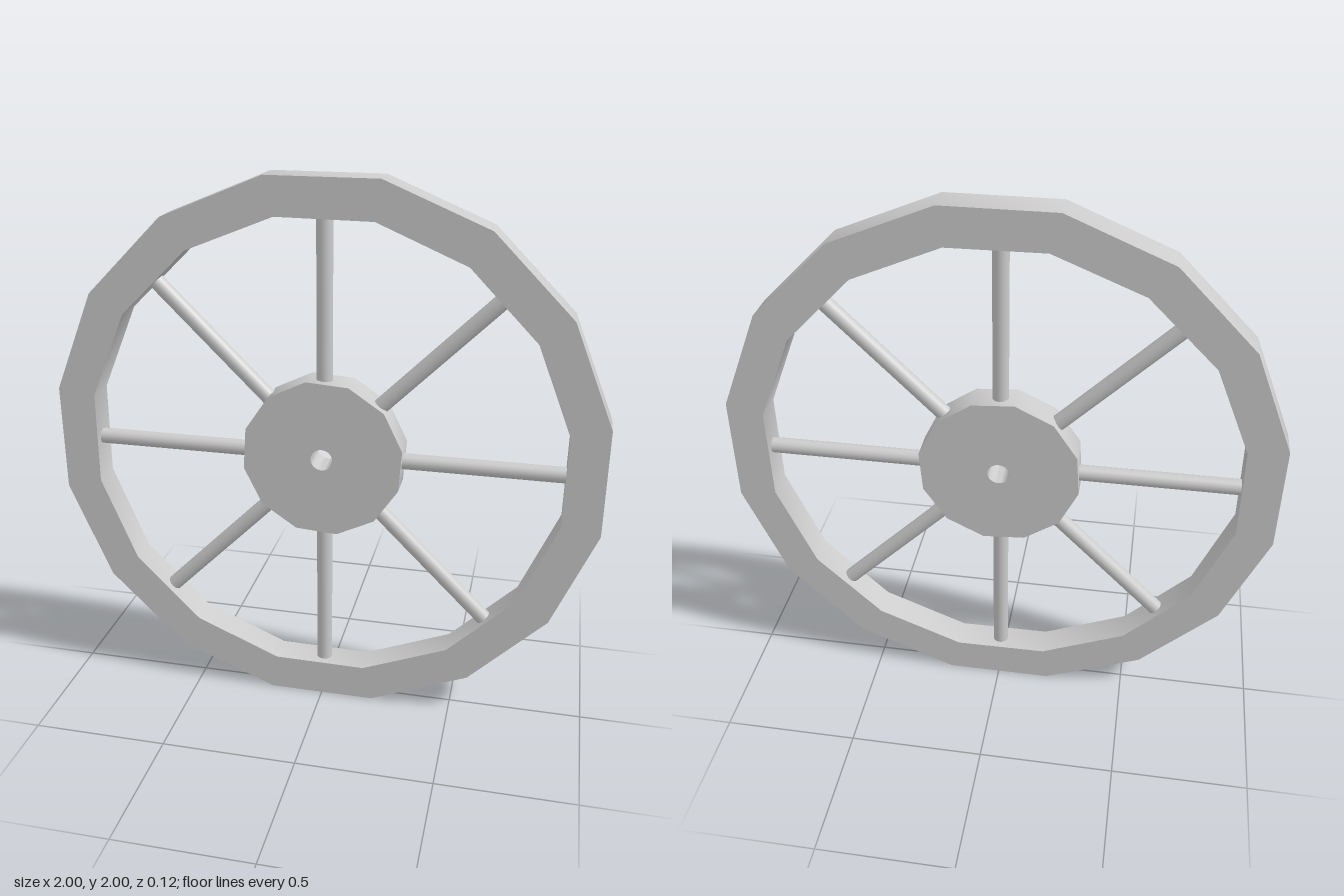
import * as THREE from 'three';
import { toCreasedNormals } from 'three/addons/utils/BufferGeometryUtils.js';

const DEPTH = 0.115;
const CENTRE_Y = 1;
const SPOKES = 8;

// Points of a regular polygon, first corner at the given angle in degrees
function polygon(sides, radius, degrees) {
  const points = [];
  for (let i = 0; i < sides; i++) {
    const a = THREE.MathUtils.degToRad(degrees) + (i / sides) * Math.PI * 2;
    points.push(new THREE.Vector2(radius * Math.cos(a), radius * Math.sin(a)));
  }
  return points;
}

// Flat plate with a hole, centred on z = 0, smooth round the sides and sharp at the faces
function plate(outer, inner) {
  const shape = new THREE.Shape(outer);
  shape.holes.push(new THREE.Path(inner));
  const geometry = new THREE.ExtrudeGeometry(shape, { depth: DEPTH, bevelEnabled: false });
  geometry.translate(0, 0, -DEPTH / 2);
  return toCreasedNormals(geometry, 0.6);
}

export function createModel() {
  const wheel = new THREE.Group();
  wheel.name = 'wheel';
  wheel.position.y = CENTRE_Y;
  const material = new THREE.MeshStandardMaterial({ color: 0xcccccc });

  const add = (name, geometry) => {
    const mesh = new THREE.Mesh(geometry, material);
    mesh.name = name;
    wheel.add(mesh);
    return mesh;
  };

  // Sixteen-sided rim
  add('rim', plate(polygon(16, 1.0196, 11.25), polygon(16, 0.88, 10.7)));

  // Twelve-sided hub with a round axle hole
  add('hub', plate(polygon(12, 0.298, 11), polygon(32, 0.04, 0)));

  // Round spokes, from inside the hub to just inside the rim
  const inner = 0.26, outer = 0.87;
  const spokeGeometry = new THREE.CylinderGeometry(0.029, 0.029, outer - inner, 20);
  spokeGeometry.translate(0, (inner + outer) / 2, 0);
  for (let i = 0; i < SPOKES; i++) {
    add(`spoke${i + 1}`, spokeGeometry).rotation.z = (i / SPOKES) * Math.PI * 2;
  }

  const model = new THREE.Group();
  model.name = 'spokedWheel';
  model.add(wheel);
  return model;
}
